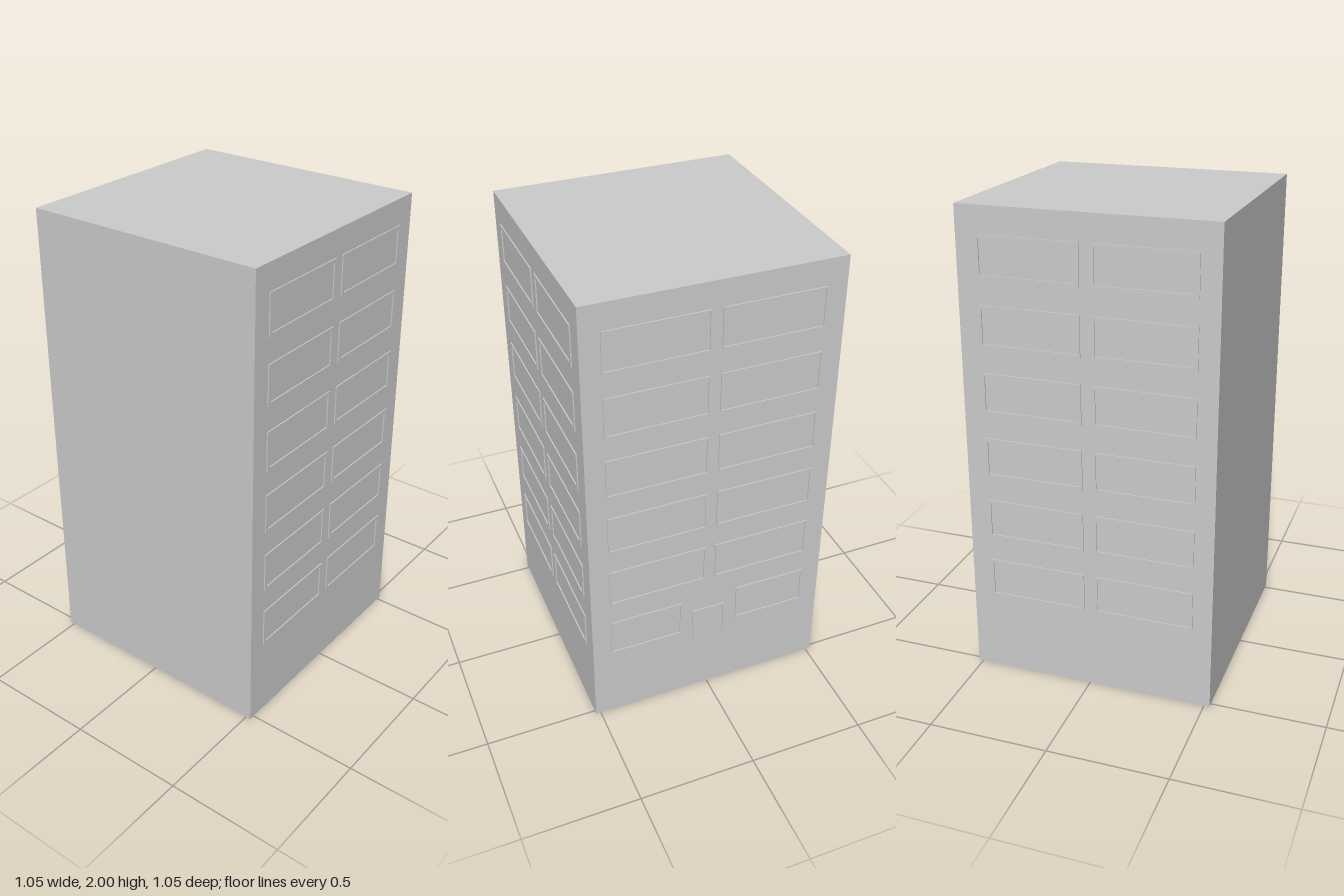
import * as THREE from 'three';

const W = 1.042, H = 2, FLOOR_Y = 0.31, RELIEF = 0.005, STOREY = 0.275, SILL = 0.345, WIN_H = 0.17;
const material = new THREE.MeshStandardMaterial({ color: 0xcccccc, side: THREE.DoubleSide });

function addMesh(parent, name, geometry) {
  const mesh = new THREE.Mesh(geometry, material);
  mesh.name = name;
  parent.add(mesh);
  return mesh;
}

function rectangle(path, x0, y0, x1, y1) {
  path.moveTo(x0, y0);
  path.lineTo(x1, y0);
  path.lineTo(x1, y1);
  path.lineTo(x0, y1);
  path.closePath();
  return path;
}

// Raised rim standing on a wall that lies in the local xy plane
function addFrame(wall, name, x0, x1, y0, y1, rim, openBottom = false) {
  const shape = openBottom ? new THREE.Shape([
    [x0, y0], [x0 + rim, y0], [x0 + rim, y1 - rim], [x1 - rim, y1 - rim],
    [x1 - rim, y0], [x1, y0], [x1, y1], [x0, y1],
  ].map(([x, y]) => new THREE.Vector2(x, y))) : rectangle(new THREE.Shape(), x0, y0, x1, y1);
  if (!openBottom) {
    shape.holes.push(rectangle(new THREE.Path(), x0 + rim, y0 + rim, x1 - rim, y1 - rim));
  }
  addMesh(wall, name, new THREE.ExtrudeGeometry(shape, { depth: RELIEF, bevelEnabled: false }));
}

// Two columns of six windows; the ground storey may leave room for a door
function makeWindowWall(name, rim, groundInner) {
  const wall = new THREE.Group();
  wall.name = name;
  for (let row = 0; row < 6; row++) {
    const y = SILL + row * STOREY;
    const inner = row === 0 ? groundInner : 0.022;
    addFrame(wall, 'windowFrame', -0.44, -inner, y, y + WIN_H, rim);
    addFrame(wall, 'windowFrame', inner, 0.44, y, y + WIN_H, rim);
  }
  return wall;
}

export function createModel() {
  const building = new THREE.Group();
  building.name = 'building';

  // Four walls and the roof: a box without its underside
  const shell = new THREE.BoxGeometry(W, H, W);
  const index = Array.from(shell.index.array);
  index.splice(18, 6);
  shell.setIndex(index);
  shell.clearGroups();
  addMesh(building, 'wallsAndRoof', shell).position.y = H / 2;

  // Floor slab closing the hollow base
  const floor = addMesh(building, 'groundFloor', new THREE.PlaneGeometry(W, W));
  floor.rotation.x = Math.PI / 2;
  floor.position.y = FLOOR_Y;

  // Window frames on both sides
  for (const side of [-1, 1]) {
    const wall = makeWindowWall(side > 0 ? 'leftWindows' : 'rightWindows', 0.014, 0.022);
    wall.rotation.y = side * Math.PI / 2;
    wall.position.x = side * W / 2;
    building.add(wall);
  }

  // Back windows and the doorway
  const back = makeWindowWall('backWindows', 0.006, 0.126);
  addFrame(back, 'doorFrame', -0.073, 0.073, 0.287, 0.45, 0.006, true);
  back.rotation.y = Math.PI;
  back.position.z = -W / 2;
  building.add(back);

  // Balance the relief, which exists only at the back
  building.children.forEach((part) => { part.position.z += RELIEF / 2; });
  return building;
}
